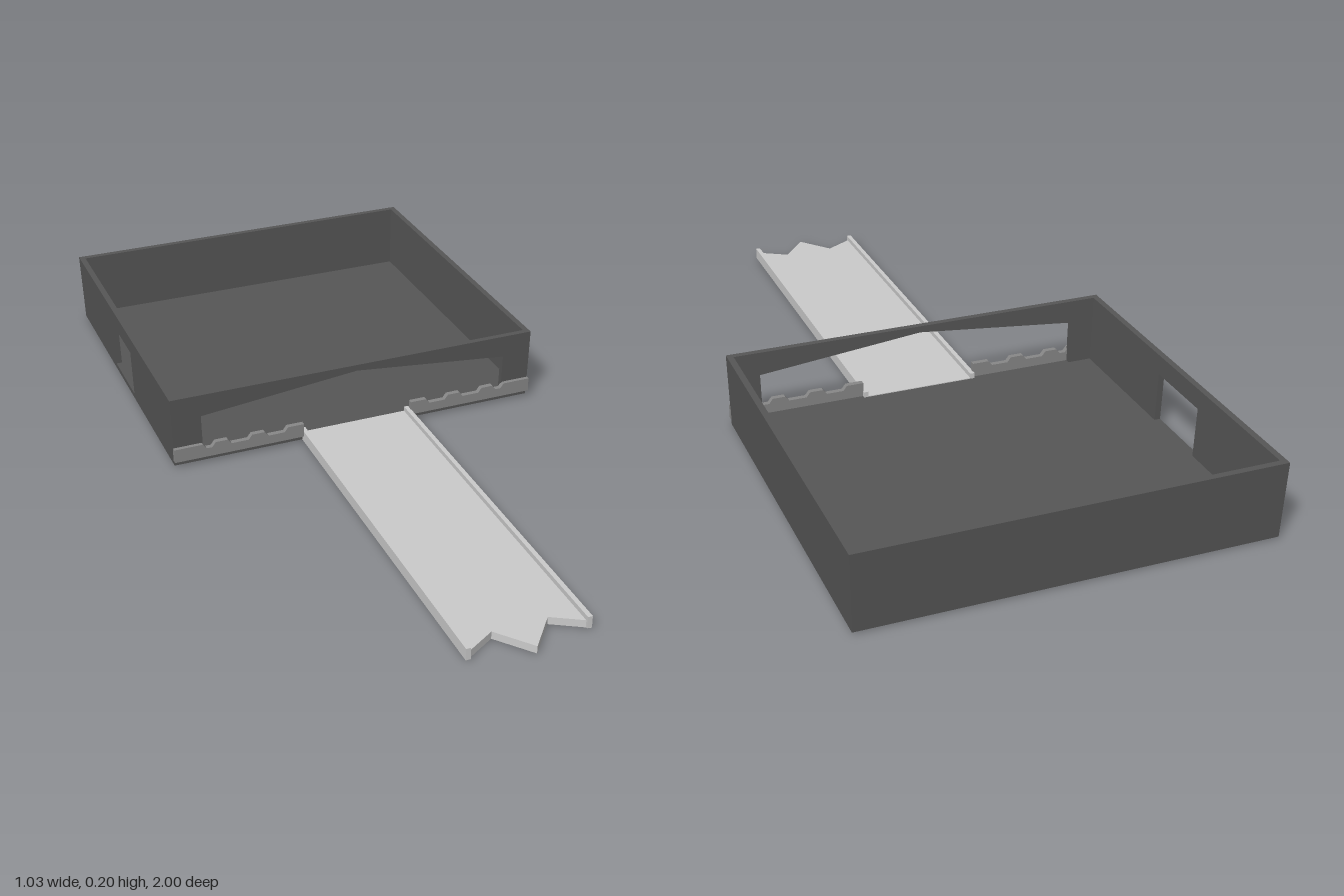
import * as THREE from 'three';

const dark = new THREE.MeshStandardMaterial({ color: 0x565656 });
const mid = new THREE.MeshStandardMaterial({ color: 0x888888 });
const light = new THREE.MeshStandardMaterial({ color: 0xcccccc });

const W = 0.515, TOP = 0.2, BOTTOM = 0.005, FLOOR = 0.02;
const BACK = -1, FRONT = -0.045, T = 0.016;

const outline = (pts) => new THREE.Shape(pts.map(([x, y]) => new THREE.Vector2(x, y)));
const extrude = (shape, depth) => new THREE.ExtrudeGeometry(shape, { depth, bevelEnabled: false });

// Block given by its two opposite corners
function block(x0, x1, y0, y1, z0, z1) {
  return new THREE.BoxGeometry(x1 - x0, y1 - y0, z1 - z0)
    .translate((x0 + x1) / 2, (y0 + y1) / 2, (z0 + z1) / 2);
}

// Draws the tray in very slightly towards its underside
function taper(geometry) {
  const p = geometry.attributes.position;
  const zc = (BACK + FRONT) / 2;
  for (let i = 0; i < p.count; i++) {
    const k = 1 - 0.009 * (TOP - p.getY(i)) / TOP;
    p.setX(i, p.getX(i) * k);
    p.setZ(i, zc + (p.getZ(i) - zc) * k);
  }
  geometry.computeVertexNormals();
  return geometry;
}

function add(group, name, geometry, material) {
  const mesh = new THREE.Mesh(geometry, material);
  mesh.name = name;
  group.add(mesh);
  return mesh;
}

function createTray() {
  const tray = new THREE.Group();
  tray.name = 'tray';
  add(tray, 'floor', taper(block(-W, W, BOTTOM, FLOOR, BACK, FRONT)), dark);
  add(tray, 'backWall', taper(block(-W, W, FLOOR, TOP, BACK, BACK + T)), dark);
  add(tray, 'leftWall', taper(block(W - T, W, FLOOR, TOP, BACK + T, FRONT - T)), dark);

  // Right wall with a window down to the floor; shape x runs along z
  const side = outline([
    [BACK + T, FLOOR], [-0.63, FLOOR], [-0.63, 0.15], [-0.435, 0.15],
    [-0.435, FLOOR], [FRONT - T, FLOOR], [FRONT - T, TOP], [BACK + T, TOP],
  ]);
  const sideGeometry = extrude(side, T).rotateY(-Math.PI / 2).translate(-W + T, 0, 0);
  add(tray, 'rightWall', taper(sideGeometry), dark);

  // Front wall with a wide gabled opening
  const front = outline([
    [-W, FLOOR], [-0.435, FLOOR], [-0.435, 0.138], [0, 0.183], [0.435, 0.138],
    [0.435, FLOOR], [W, FLOOR], [W, TOP], [-W, TOP],
  ]);
  add(tray, 'frontWall', taper(extrude(front, T).translate(0, 0, FRONT - T)), dark);
  return tray;
}

// Low toothed strip beside the ramp, on the side given by s
function createToothedStrip(s) {
  const low = 0.045, high = 0.058;
  const pts = [[0.155, FLOOR], [0.155, high]];
  for (const [a, b] of [[0.2, 0.265], [0.3, 0.367], [0.4, 0.435]]) {
    pts.push([a, high], [a + 0.01, low], [b - 0.01, low], [b, high]);
  }
  pts.push([0.512, high], [0.512, FLOOR]);
  return extrude(outline(pts.map(([x, y]) => [s * x, y])), 0.014).translate(0, 0, FRONT - 0.006);
}

function createRamp() {
  const ramp = new THREE.Group();
  ramp.name = 'ramp';
  // Deck with a zigzag end; shape y becomes z
  const deck = outline([
    [-0.155, -0.06], [0.155, -0.06], [0.155, 0.965], [0.07, 0.915],
    [0, 1], [-0.07, 0.915], [-0.155, 0.965],
  ]);
  add(ramp, 'rampDeck', extrude(deck, 0.02).rotateX(Math.PI / 2).translate(0, 0.022, 0), light);
  for (const s of [-1, 1]) {
    const x = s * 0.15;
    add(ramp, s > 0 ? 'leftRail' : 'rightRail',
      block(x - 0.006, x + 0.006, 0.004, 0.035, -0.06, 0.965), light);
  }
  // Thin plate carrying the ramp back under the tray
  add(ramp, 'rampTongue', block(-0.155, 0.155, 0, 0.01, -0.25, -0.05), dark);
  return ramp;
}

export function createModel() {
  const model = new THREE.Group();
  model.name = 'trayWithRamp';
  model.add(createTray(), createRamp());
  add(model, 'leftToothedStrip', createToothedStrip(1), mid);
  add(model, 'rightToothedStrip', createToothedStrip(-1), mid);
  return model;
}
